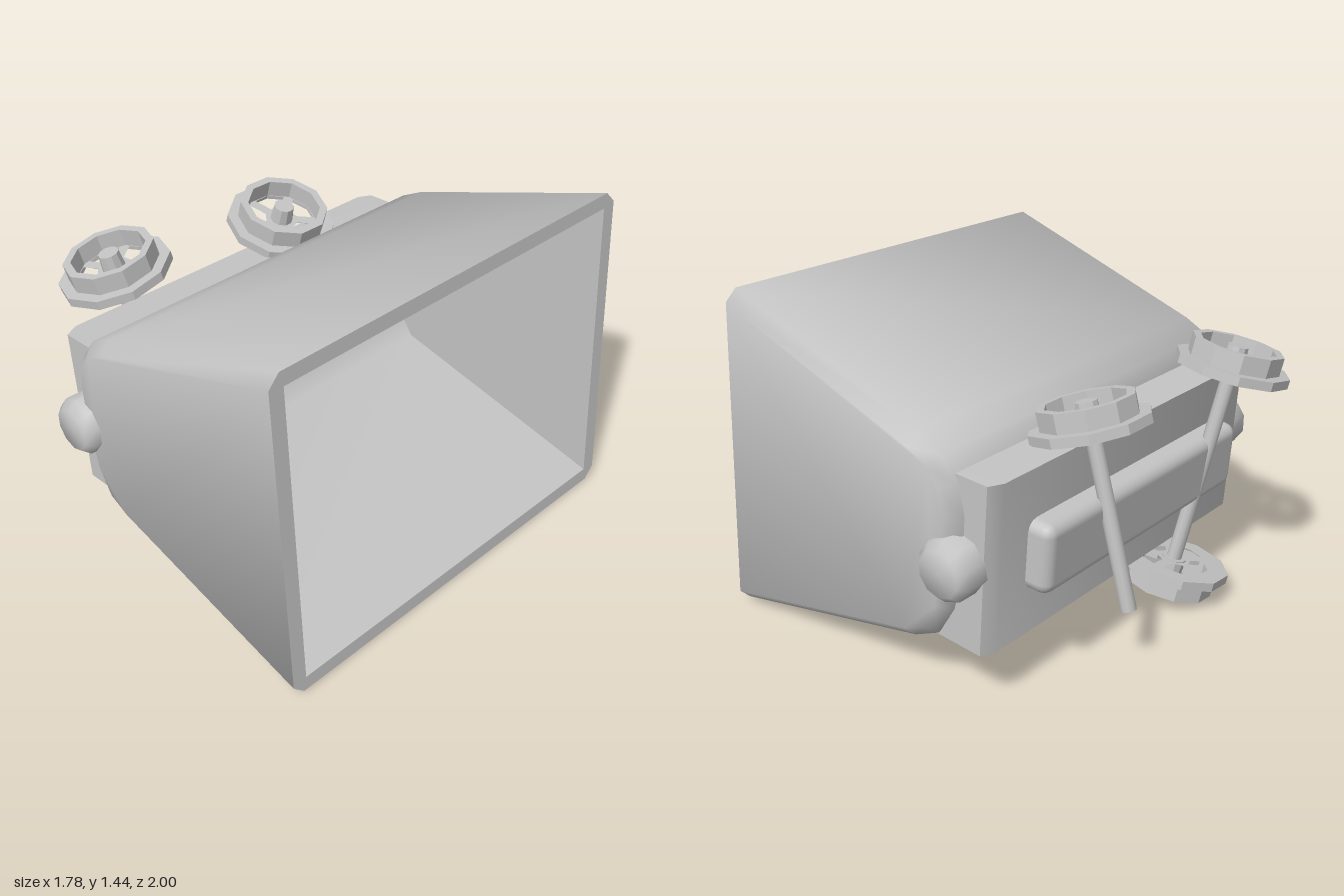
import * as THREE from 'three';
import { toCreasedNormals } from 'three/addons/utils/BufferGeometryUtils.js';
import { RoundedBoxGeometry } from 'three/addons/geometries/RoundedBoxGeometry.js';

const UP = new THREE.Vector3(0, 1, 0);
const V2 = (x, y) => new THREE.Vector2(x, y);

// Joins counter-clockwise xy rings [{ z, pts }] along z and caps both ends.
function loft(rings, { open = false, flip = false, crease = 1.05 } = {}) {
  const n = rings[0].pts.length, pos = [], idx = [];
  const tri = (a, b, c) => (flip ? idx.push(a, c, b) : idx.push(a, b, c));
  rings.forEach(r => r.pts.forEach(p => pos.push(p.x, p.y, r.z)));
  for (let k = 0; k < rings.length - 1; k++) {
    for (let i = 0; i < (open ? n - 1 : n); i++) {
      const j = (i + 1) % n, a = k * n + i, b = k * n + j;
      tri(a, b, b + n);
      tri(a, b + n, a + n);
    }
  }
  const last = (rings.length - 1) * n;
  THREE.ShapeUtils.triangulateShape(rings[0].pts, []).forEach(([a, b, c]) => tri(a, c, b));
  THREE.ShapeUtils.triangulateShape(rings[rings.length - 1].pts, [])
    .forEach(([a, b, c]) => tri(last + a, last + b, last + c));
  const g = new THREE.BufferGeometry();
  g.setAttribute('position', new THREE.Float32BufferAttribute(pos, 3));
  g.setIndex(idx);
  return toCreasedNormals(g, crease);
}

// Moves an open profile inward; its two ends slide along the mouth line.
function inset(pts, d) {
  const n = pts.length, mouth = pts[n - 1].clone().sub(pts[0]).normalize();
  return pts.map((p, i) => {
    if (i === 0) return p.clone().addScaledVector(mouth, d);
    if (i === n - 1) return p.clone().addScaledVector(mouth, -d);
    const t = pts[i + 1].clone().sub(pts[i - 1]).normalize();
    return V2(p.x - t.y * d, p.y + t.x * d);
  });
}

export function createModel() {
  const root = new THREE.Group();
  root.name = 'overturnedMineCart';
  const metal = new THREE.MeshStandardMaterial({ color: 0xc4c4c4 });
  metal.name = 'greyMetal';
  const add = (parent, name, geo) => {
    const m = new THREE.Mesh(geo, metal);
    m.name = name;
    parent.add(m);
    return m;
  };

  // Hopper: outer shell with chamfered long edges, open towards +x
  const outer = [[0.78, 1.44], [-0.2, 1.08], [-0.31, 1.02], [-0.375, 0.93], [-0.4, 0.8], [-0.385, 0.6],
    [-0.34, 0.4], [-0.26, 0.27], [-0.14, 0.215], [0.89, 0.01]].map(p => V2(...p));
  const small = inset(outer, 0.05);
  add(root, 'hopperShell', loft([
    { z: -0.94, pts: small }, { z: -0.89, pts: outer },
    { z: 0.89, pts: outer }, { z: 0.94, pts: small }], { open: true }));

  // Hopper: inside walls
  const inner = [[0.785, 1.378], [-0.28, 0.985], [-0.335, 0.9], [-0.355, 0.78], [-0.34, 0.6],
    [-0.3, 0.42], [-0.2, 0.285], [0.885, 0.072]].map(p => V2(...p));
  add(root, 'hopperInside', loft([{ z: -0.875, pts: inner }, { z: 0.875, pts: inner }],
    { open: true, flip: true }));

  // Hopper: flat rim around the mouth
  const top = outer[0], low = outer[outer.length - 1];
  const len = top.distanceTo(low), tilt = Math.atan2(low.x - top.x, top.y - low.y);
  const rim = new THREE.Shape([[-0.89, 0], [0.89, 0], [0.94, 0.05], [0.94, len - 0.05],
    [0.89, len], [-0.89, len], [-0.94, len - 0.05], [-0.94, 0.05]].map(p => V2(...p)));
  rim.holes.push(new THREE.Path([[-0.875, 0.062], [-0.875, len - 0.062],
    [0.875, len - 0.062], [0.875, 0.062]].map(p => V2(...p))));
  add(root, 'hopperRim', new THREE.ShapeGeometry(rim)
    .rotateY(Math.PI / 2).rotateZ(tilt).translate(low.x, low.y, 0));

  // Chassis block behind the hopper, its outer corners cut
  const block = d => [[-0.36, 0.96], [-0.54 + d, 0.95], [-0.49 + d, 0.24], [-0.22, 0.26], [-0.34, 0.6]]
    .map(p => V2(...p));
  add(root, 'chassisBlock', loft([
    { z: -0.88, pts: block(0.03) }, { z: -0.82, pts: block(0) },
    { z: 0.82, pts: block(0) }, { z: 0.88, pts: block(0.03) }], { crease: 0.9 }));

  // Rounded bar on the underside of the chassis
  const bar = add(root, 'undersideBar', new RoundedBoxGeometry(0.2, 0.3, 1.34, 2, 0.05));
  bar.position.set(-0.517, 0.59, 0);
  bar.rotation.z = tilt;

  // Pivot pins at both ends of the hopper
  for (const s of [1, -1]) {
    const profile = [[0.125, 0.8], [0.125, 0.965], [0.095, 1], [0, 1]].map(p => V2(...p));
    const pin = add(root, s > 0 ? 'frontPivotPin' : 'backPivotPin',
      toCreasedNormals(new THREE.LatheGeometry(profile, 10), 1.1));
    pin.rotation.x = s * Math.PI / 2;
    pin.position.set(-0.372, 0.605, 0);
  }

  // Wheel parts, with +y pointing away from the axle
  const ring = (r, a) => V2(r * Math.sin(a), r * Math.cos(a));
  const step = Math.PI / 5;
  const disc = new THREE.Shape(Array.from({ length: 10 }, (_, i) => ring(0.248, i * step)));
  for (let i = 0; i < 5; i++) {
    const a = (2 * i + 1) * step;
    disc.holes.push(new THREE.Path([ring(0.075, a - 0.33), ring(0.155, a - 0.48), ring(0.163, a),
      ring(0.155, a + 0.48), ring(0.075, a + 0.33)]));
  }
  const flangeGeo = new THREE.ExtrudeGeometry(disc, { depth: 0.04, bevelEnabled: false })
    .rotateX(Math.PI / 2).translate(0, 0.02, 0);
  const treadGeo = toCreasedNormals(new THREE.LatheGeometry(
    [[0.165, 0], [0.2, 0], [0.2, 0.1], [0.165, 0.1], [0.165, 0]].map(p => V2(...p)), 10), 0.3);
  const hubGeo = toCreasedNormals(
    new THREE.CylinderGeometry(0.045, 0.055, 0.12, 10).translate(0, 0.035, 0), 0.3);

  function addWheel(name, at, dir) {
    const wheel = new THREE.Group();
    wheel.name = name;
    add(wheel, 'flangeWithSpokes', flangeGeo);
    add(wheel, 'tread', treadGeo);
    add(wheel, 'hub', hubGeo);
    wheel.position.copy(at);
    wheel.quaternion.setFromUnitVectors(UP, dir);
    root.add(wheel);
  }

  // Two loose axles; the second has lost its lower wheel
  const axles = [
    { name: 'front', a: [-0.53, 0.15, 0.335], b: [-0.655, 1.04, 0.525], both: true },
    { name: 'back', a: [-0.737, 0.28, -0.31], b: [-0.535, 1.01, -0.31], both: false },
  ];
  for (const { name, a, b, both } of axles) {
    const p = new THREE.Vector3(...a), q = new THREE.Vector3(...b);
    const dir = q.clone().sub(p).normalize();
    const rod = add(root, name + 'Axle',
      toCreasedNormals(new THREE.CylinderGeometry(0.033, 0.033, p.distanceTo(q), 10), 0.8));
    rod.position.copy(p).add(q).multiplyScalar(0.5);
    rod.quaternion.setFromUnitVectors(UP, dir);
    addWheel(name + 'UpperWheel', q, dir);
    if (both) addWheel(name + 'LowerWheel', p, dir.clone().negate());
  }
  return root;
}
